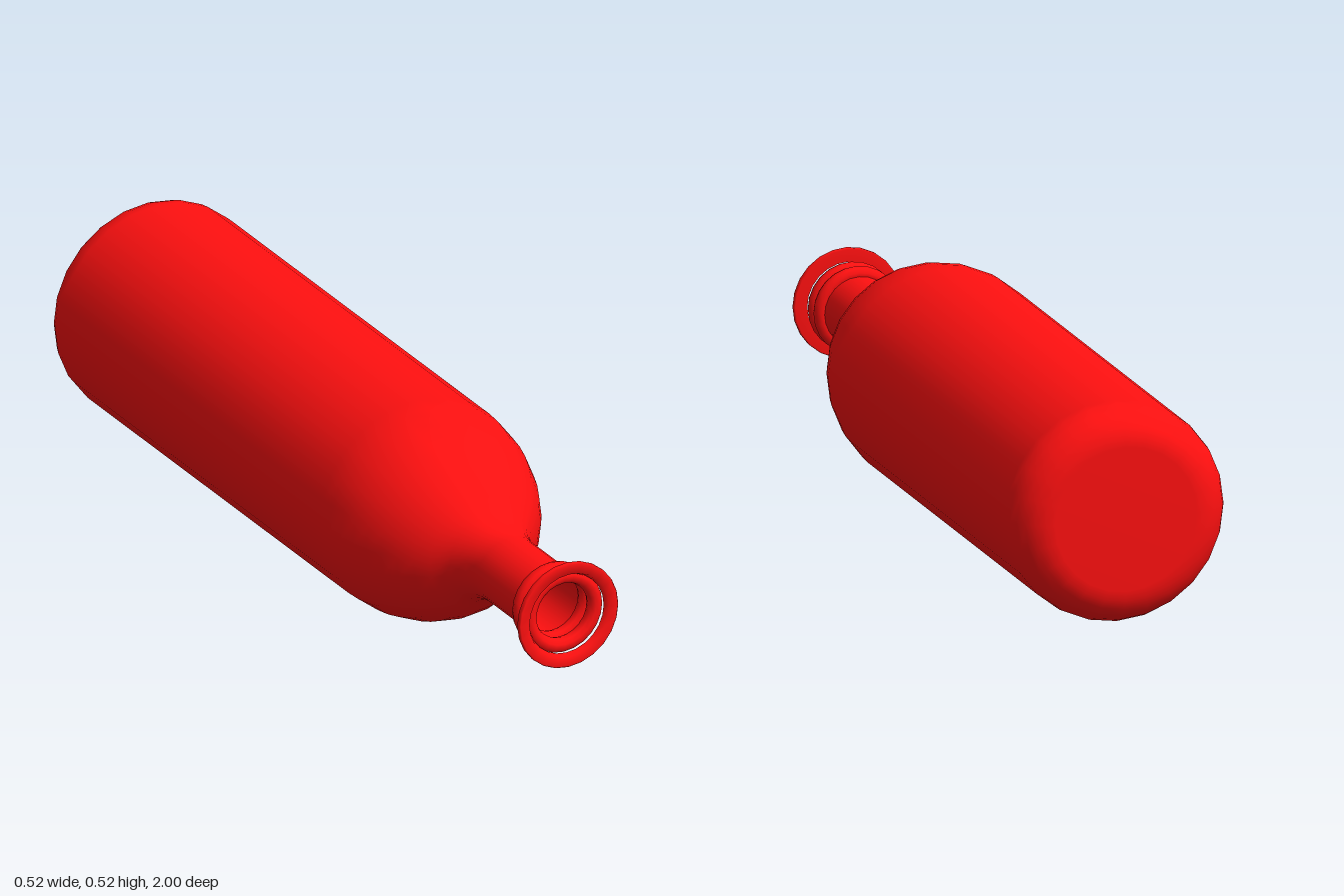
import * as THREE from 'three';

const SEGMENTS = 24;
const AXIS_HEIGHT = 0.262;

// Points along a circular arc, as (radius, distance along the axis)
function arc(cr, cz, radius, from, to, steps) {
  return Array.from({ length: steps + 1 }, (_, i) => {
    const a = from + (to - from) * i / steps;
    return new THREE.Vector2(cr + radius * Math.cos(a), cz + radius * Math.sin(a));
  });
}

export function createModel() {
  const model = new THREE.Group();
  model.name = 'bottle';
  const glass = new THREE.MeshStandardMaterial({ color: 0xff1010, side: THREE.DoubleSide });

  function add(name, geometry, z = 0) {
    const mesh = new THREE.Mesh(geometry, glass);
    mesh.name = name;
    mesh.position.set(0, AXIS_HEIGHT, z);
    model.add(mesh);
  }
  // Lathe turned so that its axis runs towards the front
  const turned = points => new THREE.LatheGeometry(points, SEGMENTS).rotateX(Math.PI / 2);

  // Body: flat base, rounded heel, straight wall, shoulder and open neck
  const bend = Math.PI / 4;
  add('body', turned([
    new THREE.Vector2(0, -1),
    ...arc(0.17, -0.91, 0.09, -Math.PI / 2, 0, 6),
    ...arc(-0.16, 0.3, 0.42, 0, bend, 8),
    ...arc(0.261, 0.723, 0.178, Math.PI + bend, Math.PI, 6).slice(1),
    new THREE.Vector2(0.083, 0.98),
  ]));

  // Two rounded rings around the mouth
  for (const [name, z] of [['lowerNeckRing', 0.924], ['upperNeckRing', 0.964]]) {
    add(name, new THREE.TorusGeometry(0.086, 0.018, 10, SEGMENTS), z);
  }

  // Thin flat flange at the mouth
  add('mouthFlange', turned([
    [0.098, 0.986], [0.127, 0.986], [0.13, 0.989], [0.13, 0.997],
    [0.127, 1], [0.104, 1], [0.098, 0.986],
  ].map(p => new THREE.Vector2(...p))));

  return model;
}
